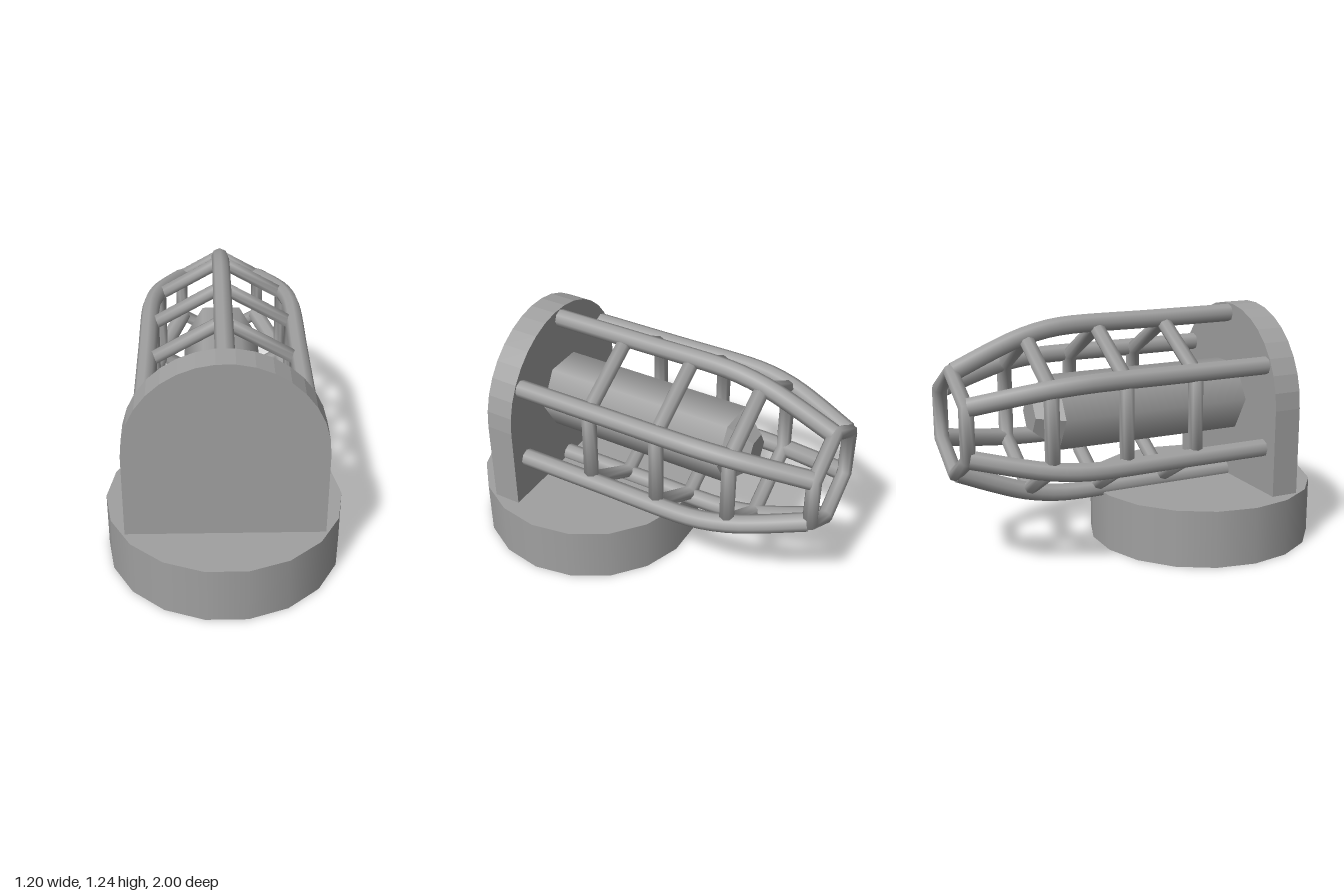
import * as THREE from 'three';

const AXIS_Y = 0.755; // height of the lamp and cage axis
const BACK_Z = 0.575; // rear face of the mounting plate

export function createModel() {
  const model = new THREE.Group();
  model.name = 'cagedLamp';
  const grey = new THREE.MeshStandardMaterial({ color: 0xa0a0a0, side: THREE.DoubleSide });
  grey.name = 'grey metal';

  const add = (name, geometry, parent = model) => {
    const mesh = new THREE.Mesh(geometry, grey);
    mesh.name = name;
    parent.add(mesh);
    return mesh;
  };

  // Round base, hollow underneath
  const base = new THREE.Group();
  base.name = 'base';
  base.position.z = 0.41;
  model.add(base);
  add('baseWall', new THREE.CylinderGeometry(0.6, 0.6, 0.3, 18, 1, true, Math.PI / 18), base).position.y = 0.15;
  add('baseTop', new THREE.CircleGeometry(0.6, 18).rotateX(-Math.PI / 2), base).position.y = 0.3;

  // Arched mounting plate, sunk into the base with an open lower edge
  const W = 0.49, FOOT = 0.15, DEPTH = 0.145;
  const outline = [new THREE.Vector2(-W, FOOT), new THREE.Vector2(W, FOOT)];
  for (let i = 0; i <= 17; i++) {
    const a = (Math.PI * i) / 17;
    outline.push(new THREE.Vector2(W * Math.cos(a), AXIS_Y + W * Math.sin(a)));
  }
  const solid = new THREE.ExtrudeGeometry(new THREE.Shape(outline), { depth: DEPTH, bevelEnabled: false });
  const src = solid.getAttribute('position');
  const kept = [];
  for (let i = 0; i < src.count; i += 3) {
    const corners = [i, i + 1, i + 2];
    if (corners.every((k) => src.getY(k) < FOOT + 0.001)) continue;
    corners.forEach((k) => kept.push(src.getX(k), src.getY(k), src.getZ(k)));
  }
  const plate = new THREE.BufferGeometry();
  plate.setAttribute('position', new THREE.Float32BufferAttribute(kept, 3));
  plate.computeVertexNormals();
  add('mountingPlate', plate).position.z = BACK_Z;

  // Everything around the horizontal axis
  const head = new THREE.Group();
  head.name = 'lampHead';
  head.position.y = AXIS_Y;
  model.add(head);

  // Six-sided lamp body with a faceted tapered end; vertices lie on +x and -x
  const alongZ = (top, bottom, length, open) =>
    new THREE.CylinderGeometry(top, bottom, length, 6, 1, open, Math.PI / 6).rotateX(-Math.PI / 2);
  add('lampBody', alongZ(0.2, 0.2, BACK_Z + 0.45, true), head).position.z = (BACK_Z - 0.45) / 2;
  const tip = alongZ(0.09, 0.2, 0.12, false).toNonIndexed();
  tip.computeVertexNormals();
  add('lampTip', tip, head).position.z = -0.51;

  // Six cage bars, straight and then curving inward: [radius, z]
  const profile = [[0.437, BACK_Z], [0.437, 0.1], [0.437, -0.36], [0.424, -0.48], [0.393, -0.61], [0.345, -0.74], [0.255, -0.95]];
  for (let i = 0; i < 6; i++) {
    const a = Math.PI / 6 + (i * Math.PI) / 3;
    const path = new THREE.CatmullRomCurve3(
      profile.map(([r, z]) => new THREE.Vector3(r * Math.cos(a), r * Math.sin(a), z)));
    add('cageBar', new THREE.TubeGeometry(path, 24, 0.047, 8), head);
  }

  // Hexagonal hoops and the end ring: [name, radius, tube, z]
  const hoops = [
    ['cageHoop', 0.42, 0.04, 0.18],
    ['cageHoop', 0.42, 0.04, -0.2],
    ['cageHoop', 0.39, 0.04, -0.58],
    ['cageEndRing', 0.258, 0.038, -0.962],
  ];
  for (const [name, radius, tube, z] of hoops) {
    add(name, new THREE.TorusGeometry(radius, tube, 8, 6).rotateZ(Math.PI / 6), head).position.z = z;
  }

  return model;
}
